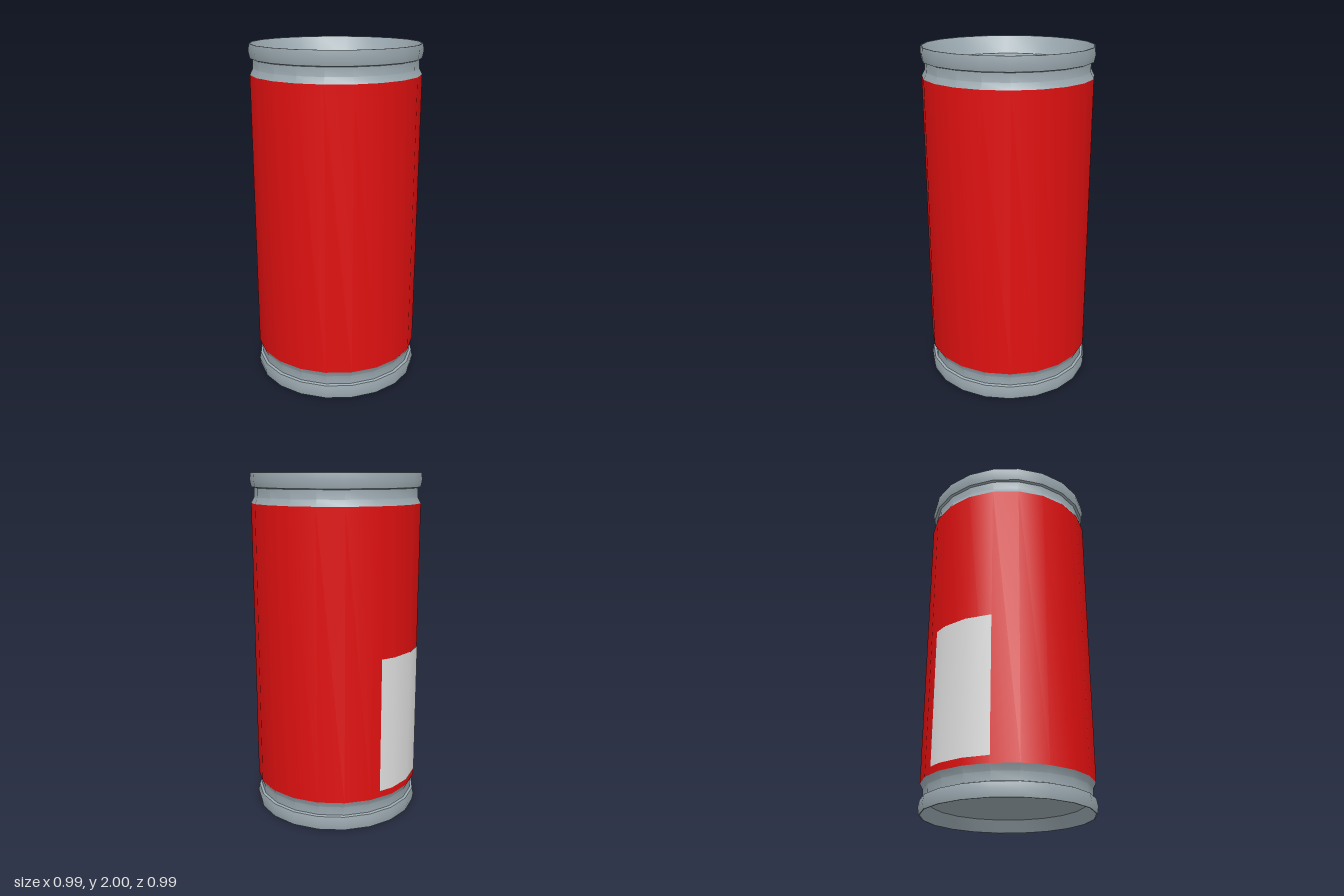
import * as THREE from 'three';
import { toCreasedNormals } from 'three/addons/utils/BufferGeometryUtils.js';

const SIDES = 20;
const BODY_R = 0.49;
const LID_Y = 1.9;

function material(name, color, extra = {}) {
  const m = new THREE.MeshStandardMaterial({ color, ...extra });
  m.name = name;
  return m;
}

function mesh(name, geometry, mat) {
  const m = new THREE.Mesh(geometry, mat);
  m.name = name;
  return m;
}

// Turned part from [radius, height] pairs, smooth around, sharp at the steps
function turned(profile) {
  const points = profile.map(([r, y]) => new THREE.Vector2(r, y));
  return toCreasedNormals(new THREE.LatheGeometry(points, SIDES), 0.5);
}

// Flat plate lying on the lid: shape +y points to the back
function plate(shape, depth) {
  const g = new THREE.ExtrudeGeometry(shape, { depth, bevelEnabled: false, curveSegments: 10 });
  return g.rotateX(-Math.PI / 2);
}

// Rounded oblong traced into a path
function oblong(path, w, y0, y1, r) {
  path.moveTo(-w + r, y0);
  path.lineTo(w - r, y0);
  path.absarc(w - r, y0 + r, r, -Math.PI / 2, 0);
  path.absarc(w - r, y1 - r, r, 0, Math.PI / 2);
  path.absarc(-w + r, y1 - r, r, Math.PI / 2, Math.PI);
  path.absarc(-w + r, y0 + r, r, Math.PI, Math.PI * 1.5);
  return path;
}

// Thin panel following the facets of the body between two angles (degrees)
function facetPanel(startDeg, endDeg, y0, y1, offset) {
  const step = 360 / SIDES;
  const angles = [startDeg];
  for (let a = Math.ceil(startDeg / step) * step; a < endDeg; a += step) if (a > startDeg) angles.push(a);
  angles.push(endDeg);
  const pos = [], normal = [], index = [];
  angles.forEach((a, i) => {
    const mid = (Math.floor(a / step) + 0.5) * step;
    const rad = THREE.MathUtils.degToRad;
    const r = BODY_R * Math.cos(rad(step / 2)) / Math.cos(rad(a - mid)) + offset;
    const s = Math.sin(rad(a)), c = Math.cos(rad(a));
    for (const y of [y0, y1]) {
      pos.push(r * s, y, r * c);
      normal.push(s, 0, c);
    }
    if (i > 0) {
      const k = 2 * i;
      index.push(k - 2, k, k + 1, k - 2, k + 1, k - 1);
    }
  });
  const g = new THREE.BufferGeometry();
  g.setAttribute('position', new THREE.Float32BufferAttribute(pos, 3));
  g.setAttribute('normal', new THREE.Float32BufferAttribute(normal, 3));
  g.setIndex(index);
  return g;
}

export function createModel() {
  const red = material('red paint', 0xe01010);
  const silver = material('silver metal', 0x9ba9b0);
  const pale = material('pale label', 0xe0e0e0, { side: THREE.DoubleSide });
  const can = new THREE.Group();
  can.name = 'drinkCan';

  // Recessed base, foot ring and lower neck
  can.add(mesh('base', turned([
    [0, 0.07], [0.438, 0.07], [0.482, 0], [0.488, 0], [0.495, 0.04], [0.487, 0.08],
    [0.472, 0.085], [0.472, 0.135], [BODY_R, 0.17],
  ]), silver));

  // Painted wall
  can.add(mesh('body', turned([[BODY_R, 0.17], [BODY_R, 1.83]]), red));

  // Upper neck, rim, groove and lid
  can.add(mesh('lid', turned([
    [BODY_R, 1.83], [0.472, 1.865], [0.472, 1.915], [0.487, 1.92], [0.495, 1.96], [0.49, 2],
    [0.484, 2], [0.43, LID_Y - 0.015], [0.425, LID_Y - 0.015], [0.417, LID_Y], [0, LID_Y],
  ]), silver));

  // Label panel on the back
  can.add(mesh('labelPanel', facetPanel(187.7, 234, 0.21, 1.0, 0.003), pale));

  // Pull tab with finger hole and rivet hole
  const tab = new THREE.Group();
  tab.name = 'pullTab';
  tab.position.y = LID_Y;
  const outline = new THREE.Shape();
  outline.moveTo(0.14, 0);
  outline.lineTo(0.142, 0.225);
  outline.absarc(0.057, 0.226, 0.085, 0, Math.PI / 2);
  outline.absarc(-0.057, 0.226, 0.085, Math.PI / 2, Math.PI);
  outline.lineTo(-0.14, 0);
  outline.bezierCurveTo(-0.135, -0.08, -0.075, -0.125, 0, -0.125);
  outline.bezierCurveTo(0.075, -0.125, 0.135, -0.08, 0.14, 0);
  const fingerHole = oblong(new THREE.Path(), 0.118, 0.156, 0.288, 0.062);
  const rivetHole = new THREE.Path().absarc(0, 0.007, 0.103, 0, Math.PI * 2);
  outline.holes.push(fingerHole, rivetHole);
  tab.add(mesh('tabRing', plate(outline, 0.012), silver));

  // Tongue inside the rivet hole, with the rivet bump on its edge
  const tongue = new THREE.Shape();
  tongue.absarc(0, 0.007, 0.103, Math.PI + 0.36, Math.PI * 2 - 0.36);
  tongue.lineTo(0.04, -0.037);
  tongue.absarc(0, -0.022, 0.042, -0.35, Math.PI + 0.35);
  tongue.lineTo(-0.096, -0.029);
  tab.add(mesh('tabTongue', plate(tongue, 0.006), silver));
  can.add(tab);

  return can;
}
